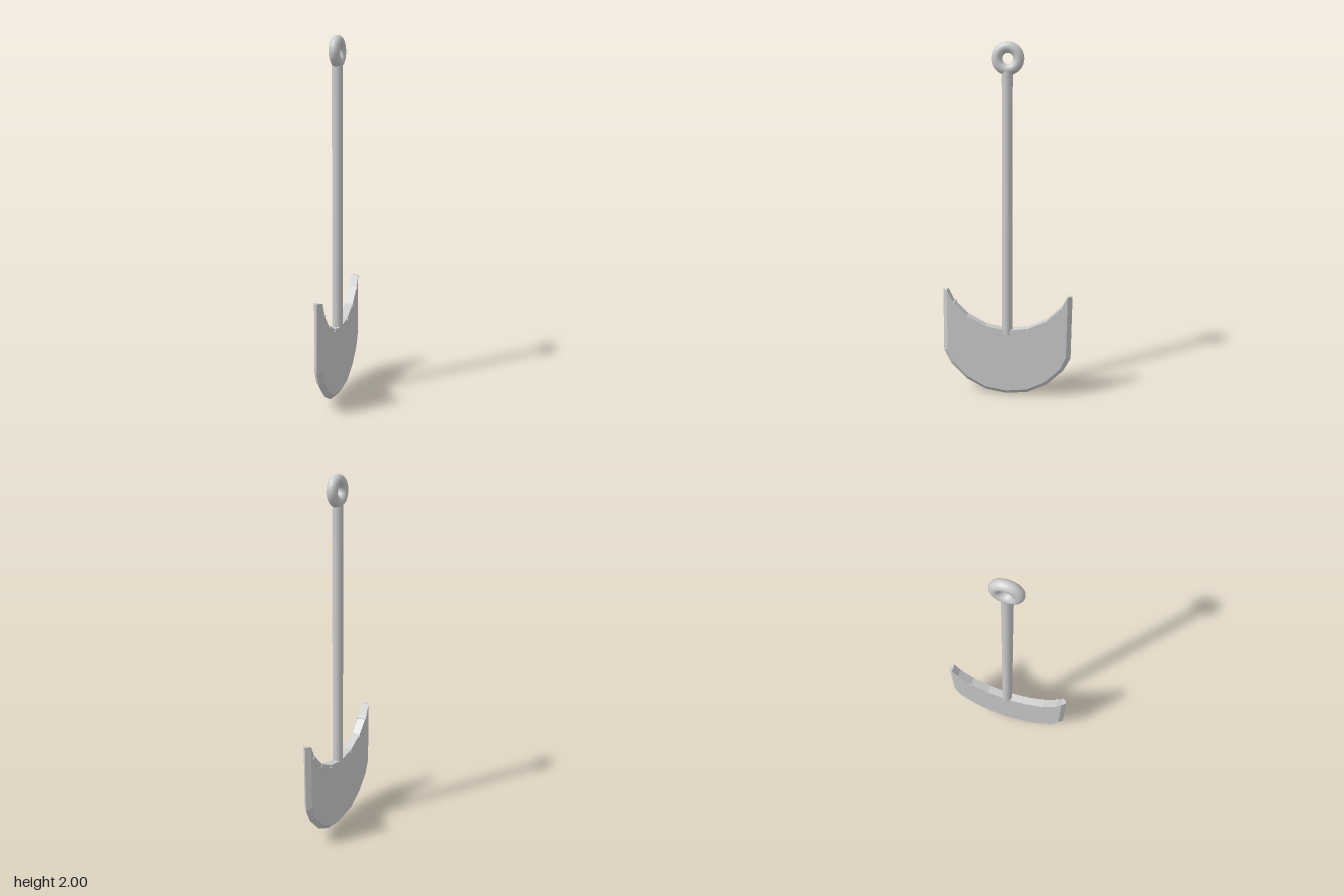
import * as THREE from 'three';

const material = new THREE.MeshStandardMaterial({ color: 0xcccccc });

// Blade stations from centre to end: [z, top edge, bevel ridge y, cutting edge z, cutting edge y]
const half = [
  [0, 0.405, 0.032, 0, 0.005],
  [0.12, 0.425, 0.048, 0.122, 0.022],
  [0.228, 0.478, 0.105, 0.236, 0.08],
  [0.31, 0.562, 0.19, 0.327, 0.172],
  [0.342, 0.626, 0.265, 0.367, 0.252],
];
const T = 0.023; // half thickness of the blade

function bladeGeometry() {
  const stations = [
    ...half.slice(1).reverse(),
    ...half.map(([z, a, b, ez, ey]) => [-z, a, b, -ez, ey]),
  ];
  // Five-cornered cross-section at each station
  const sections = stations.map(([z, top, ridge, ez, ey]) => [
    [-T, top, z], [T, top, z], [T, ridge, z], [0, ey, ez], [-T, ridge, z],
  ]);
  const pos = [];
  const face = (pts, flip) => {
    const p = flip ? [...pts].reverse() : pts;
    for (let i = 1; i < p.length - 1; i++) pos.push(...p[0], ...p[i], ...p[i + 1]);
  };
  for (let i = 0; i < sections.length - 1; i++) {
    const a = sections[i], b = sections[i + 1];
    for (let j = 0; j < 5; j++) {
      const k = (j + 1) % 5;
      face([a[j], a[k], b[k], b[j]]);
    }
  }
  // Upright sharpened wedge at each end
  [[sections[0], false], [sections[sections.length - 1], true]].forEach(([s, flip]) => {
    const [tl, tr, rr, tip, rl] = s;
    const tipTop = [0, tl[1], tip[2]];
    face([tipTop, tip, rr, tr], flip);
    face([tl, rl, tip, tipTop], flip);
    face([tl, tipTop, tr], flip);
  });
  const g = new THREE.BufferGeometry();
  g.setAttribute('position', new THREE.Float32BufferAttribute(pos, 3));
  g.computeVertexNormals();
  return g;
}

function addMesh(parent, name, geometry, x = 0, y = 0, z = 0) {
  const mesh = new THREE.Mesh(geometry, material);
  mesh.name = name;
  mesh.position.set(x, y, z);
  parent.add(mesh);
  return mesh;
}

export function createModel() {
  const model = new THREE.Group();
  model.name = 'crescentBladeTool';

  // Blade with its row of rivets, leaning very slightly
  const head = new THREE.Group();
  head.name = 'bladeHead';
  head.rotation.x = -0.008;
  head.position.z = 0.003;
  model.add(head);
  addMesh(head, 'blade', bladeGeometry());

  const rivet = new THREE.CylinderGeometry(0.01, 0.01, 0.054, 10).rotateZ(Math.PI / 2);
  for (const side of [-1, 1]) {
    for (const [z, top] of half.slice(1, 4)) {
      addMesh(head, 'rivet', rivet, 0, top - 0.014, side * (z - 0.002) - 0.004);
    }
  }

  // Shaft
  addMesh(model, 'shaft', new THREE.CylinderGeometry(0.029, 0.029, 1.48, 20), 0, 1.12, -0.002);

  // Ring at the top, its hole facing sideways
  const ring = new THREE.TorusGeometry(0.057, 0.029, 20, 36).rotateY(Math.PI / 2);
  addMesh(model, 'ring', ring, 0, 1.914, -0.005);

  return model;
}
